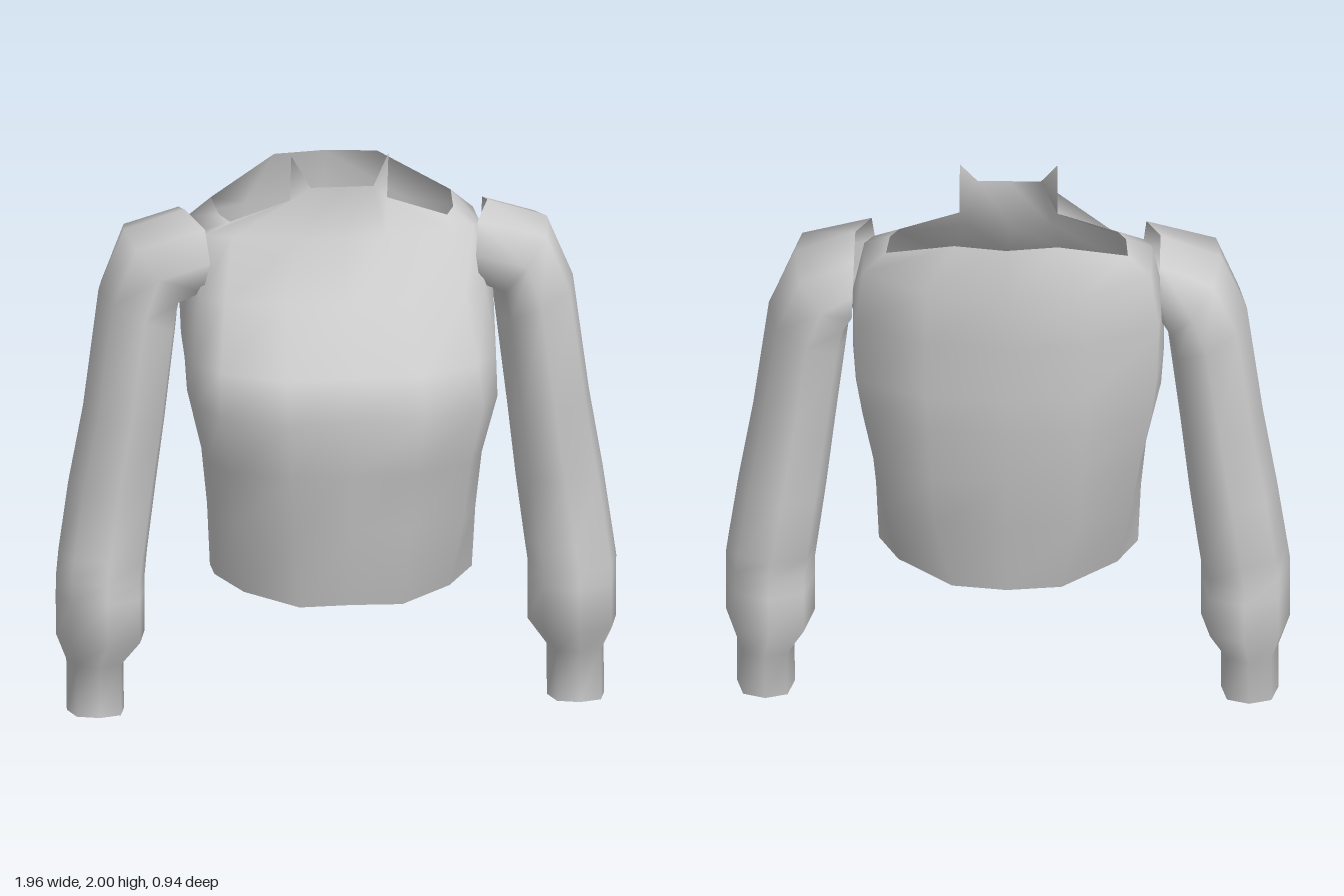
import * as THREE from 'three';

// Skin closed rings (ordered front, +x, back, -x; listed bottom to top) into a smooth open tube
function loft(rings, extra = []) {
  const n = rings[0].length, index = [];
  for (let i = 0; i < rings.length - 1; i++) {
    for (let j = 0; j < n; j++) {
      const a = i * n + j, b = i * n + (j + 1) % n;
      index.push(a, b, b + n, a, b + n, a + n);
    }
  }
  const g = new THREE.BufferGeometry();
  const points = [...rings.flat(), ...extra];
  g.setAttribute('position', new THREE.Float32BufferAttribute(points.flat(), 3));
  g.setIndex(index);
  return g;
}

// Complete a half ring (front centre to back centre) by mirroring it over x
const mirrorHalf = (half) => [
  ...half,
  ...half.slice(1, -1).reverse().map(([x, y, z]) => [-x, y, z]),
];

function torsoGeometry() {
  // Level sections: height, then x,z pairs from front centre to back centre
  const levels = [
    [0.75, [0, .36], [.2, .37], [.40, .26], [.46, .1], [.46, -.05], [.43, -.24], [.25, -.34], [0, -.36]],
    [0.95, [0, .39], [.22, .40], [.42, .28], [.48, .12], [.48, -.05], [.46, -.27], [.26, -.38], [0, -.40]],
    [1.16, [0, .43], [.24, .47], [.46, .33], [.53, .16], [.53, -.05], [.50, -.30], [.27, -.41], [0, -.435]],
    [1.30, [0, .39], [.24, .40], [.45, .26], [.53, .12], [.54, -.05], [.52, -.30], [.28, -.42], [0, -.45]],
    [1.52, [0, .21], [.22, .21], [.42, .14], [.50, .06], [.54, -.05], [.53, -.30], [.28, -.43], [0, -.465]],
    [1.72, [0, .06], [.15, .06], [.38, 0], [.47, -.03], [.50, -.08], [.50, -.29], [.28, -.44], [0, -.475]],
  ].map(([y, ...p]) => p.map(([x, z]) => [x, y, z]));
  const hem = [[0, .46, .29], [.18, .46, .30], [.36, .49, .18], [.45, .53, .08],
    [.45, .53, -.05], [.38, .50, -.15], [.19, .47, -.28], [0, .46, -.29]];
  const neckline = [[0, 1.9, .05], [.11, 1.9, .05], [.17, 1.83, -.05], [.38, 1.76, -.05],
    [.41, 1.77, -.12], [.42, 1.79, -.27], [.18, 1.9, -.41], [0, 1.9, -.44]];
  const rings = [hem, ...levels, neckline].map(mirrorHalf);
  // Pointed collar tips on both sides of the front neckline
  const g = loft(rings, [[.17, 2, -.01], [-.17, 2, -.01]]);
  const n = rings[0].length, top = (rings.length - 1) * n, tip = top + n;
  g.setIndex([...g.index.array,
    top + 1, top + 2, tip,
    top + n - 2, top + n - 1, tip + 1]);
  g.computeVertexNormals();
  return g;
}

function sleeveGeometry(side) {
  // Sections: inner x,y, outer x,y, front z, back z, sideways bow of the front
  const sections = [
    [.74, 0, .94, 0, -.01, -.26],
    [.74, .18, .94, .18, -.01, -.29],
    [.67, .28, .98, .28, .09, -.33],
    [.67, .43, .98, .43, .08, -.33],
    [.67, .49, .98, .50, .075, -.30],
    [.66, .57, .97, .58, .07, -.33],
    [.63, .80, .935, .82, .055, -.33],
    [.60, 1.05, .885, 1.10, .09, -.33],
    [.56, 1.38, .83, 1.51, .09, -.35],
    [.55, 1.47, .74, 1.72, .09, -.37],
    [.54, 1.50, .53, 1.79, .08, -.33, -.07],
  ];
  const soft = (v) => Math.sign(v) * Math.abs(v) ** 0.75;
  const rings = sections.map(([xi, yi, xo, yo, zf, zb, bow = 0]) => {
    const ring = [];
    for (let k = 0; k < 8; k++) {
      const a = (k / 8) * Math.PI * 2;
      const s = soft(Math.sin(a)), c = soft(Math.cos(a));
      ring.push([
        side * ((xi + xo) / 2 + s * (xo - xi) / 2 + bow * Math.max(0, c)),
        (yi + yo) / 2 + s * (yo - yi) / 2,
        (zf + zb) / 2 + c * (zf - zb) / 2,
      ]);
    }
    return side < 0 ? ring.reverse() : ring;
  });
  const g = loft(rings);
  g.computeVertexNormals();
  return g;
}

export function createModel() {
  const group = new THREE.Group();
  group.name = 'longSleeveTop';
  const fabric = new THREE.MeshStandardMaterial({ color: 0xcccccc, side: THREE.DoubleSide });
  fabric.name = 'light grey fabric';

  const add = (name, geometry) => {
    const mesh = new THREE.Mesh(geometry, fabric);
    mesh.name = name;
    group.add(mesh);
  };
  add('torso', torsoGeometry());
  add('leftSleeve', sleeveGeometry(1));
  add('rightSleeve', sleeveGeometry(-1));
  return group;
}
